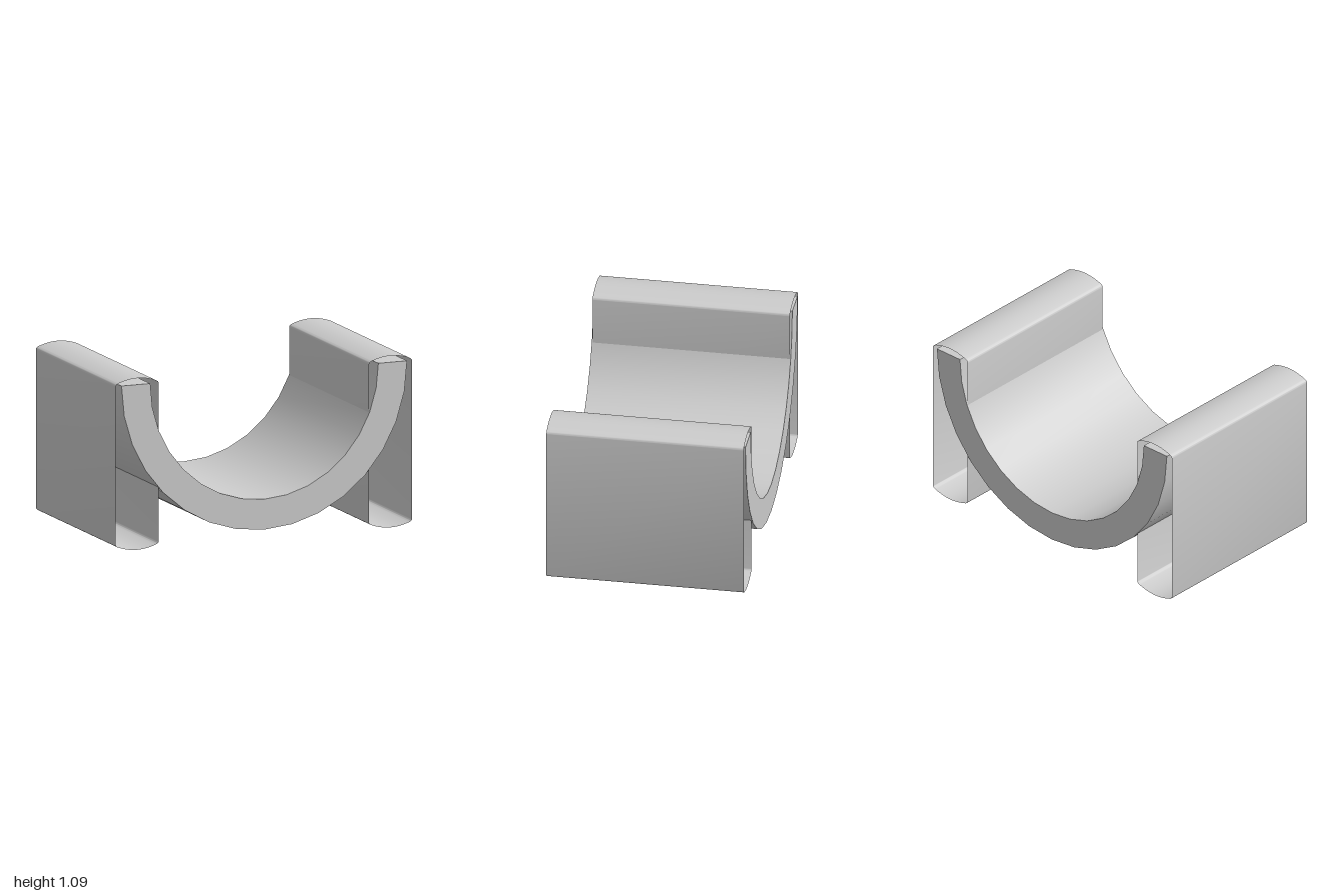
import * as THREE from 'three';
import { toCreasedNormals } from 'three/addons/utils/BufferGeometryUtils.js';

const material = new THREE.MeshStandardMaterial({ color: 0xcccccc, side: THREE.DoubleSide });

// Half-elliptical trough with a flat rim, 16 facets round, extruded along z
function troughGeometry() {
  const cy = 1.045, steps = 16, depth = 1.25;
  const arc = (rx, ry) => Array.from({ length: steps + 1 }, (_, i) => {
    const a = Math.PI + (i / steps) * Math.PI;
    return new THREE.Vector2(rx * Math.cos(a), cy + ry * Math.sin(a));
  });
  const shape = new THREE.Shape([...arc(0.963, 0.987), ...arc(0.77, 0.795).reverse()]);
  const geo = new THREE.ExtrudeGeometry(shape, { depth, bevelEnabled: false });
  geo.translate(0, 0, -depth / 2);
  return toCreasedNormals(geo, 0.5);
}

// Open-ended sleeve: straight sides, shallow domed top and bottom with small fillets
function sleeveGeometry() {
  const w = 0.145, h = 1.085, halfDepth = 0.62;
  const quarter = new THREE.Path();
  quarter.moveTo(w, h - 0.045);
  quarter.quadraticCurveTo(w, h - 0.03, w - 0.02, h - 0.023);
  quarter.quadraticCurveTo(0.06, h, 0, h);
  const right = quarter.getPoints(6).map(p => [p.x, p.y]);
  const top = [...right, ...right.slice(0, -1).reverse().map(([x, y]) => [-x, y])];
  const ring = [...top, ...top.map(([x, y]) => [-x, h - y])];

  // Counter-clockwise ring, one outward-facing quad per side
  const pos = [];
  ring.forEach(([ax, ay], i) => {
    const [bx, by] = ring[(i + 1) % ring.length];
    const z = halfDepth;
    pos.push(ax, ay, z, ax, ay, -z, bx, by, -z);
    pos.push(ax, ay, z, bx, by, -z, bx, by, z);
  });
  const geo = new THREE.BufferGeometry();
  geo.setAttribute('position', new THREE.Float32BufferAttribute(pos, 3));
  return toCreasedNormals(geo, 0.6);
}

export function createModel() {
  const group = new THREE.Group();

  const trough = new THREE.Mesh(troughGeometry(), material);
  trough.name = 'trough';
  group.add(trough);

  // Sleeves enclosing the two upright ends of the trough
  const sleeve = sleeveGeometry();
  for (const side of [-1, 1]) {
    const mesh = new THREE.Mesh(sleeve, material);
    mesh.name = side > 0 ? 'leftSleeve' : 'rightSleeve';
    mesh.position.x = side * 0.855;
    group.add(mesh);
  }
  return group;
}
